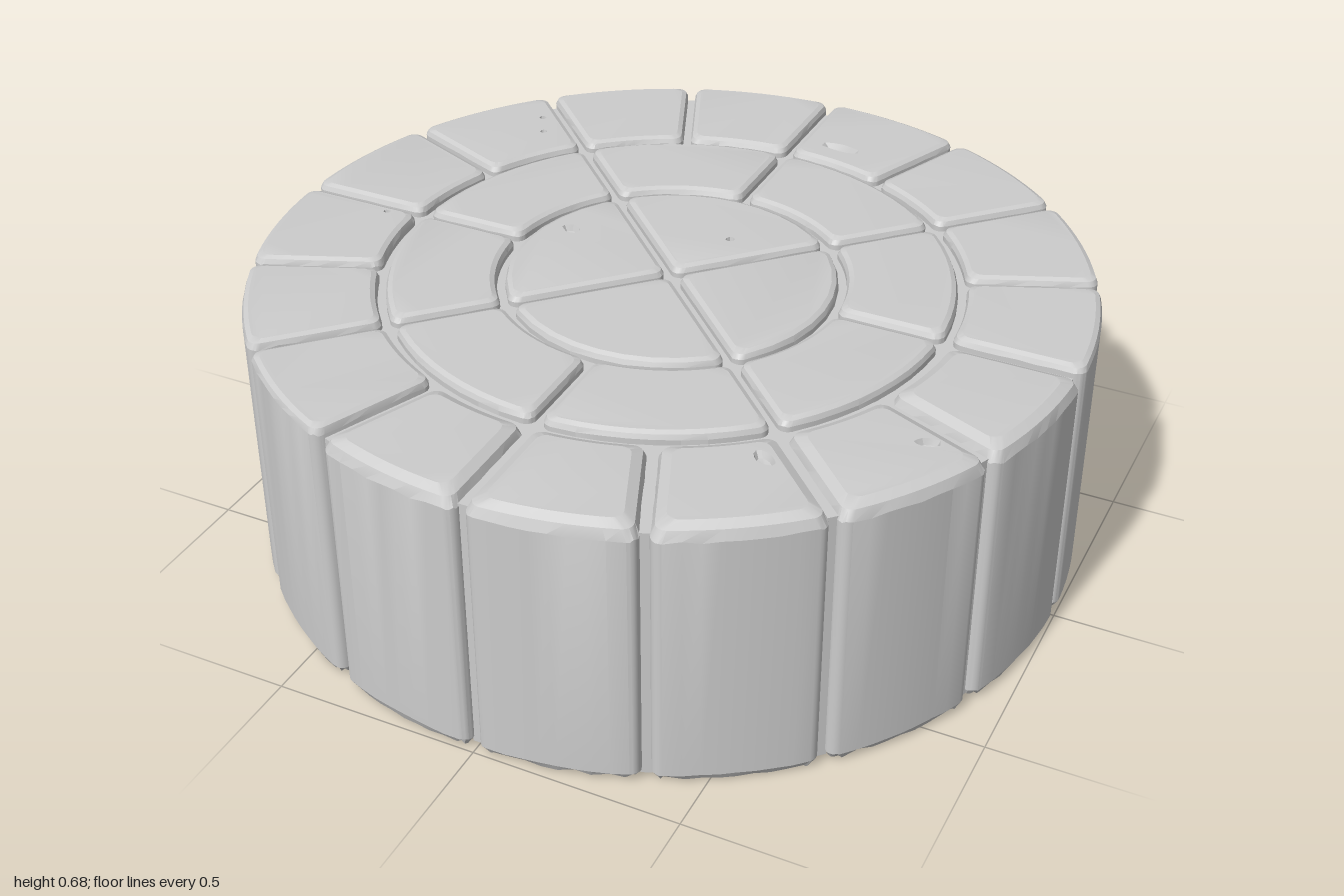
import * as THREE from 'three';
import { toCreasedNormals } from 'three/addons/utils/BufferGeometryUtils.js';

const H = 0.685, GAP = 0.01, CORNER = 0.025, RAD = Math.PI / 180;
const stoneMat = new THREE.MeshStandardMaterial({ color: 0xcccccc, side: THREE.DoubleSide });

// shallow pits in the top faces: x, z, half length, half width, turn
const PITS = [
  [0.12, -0.76, 0.06, 0.02, 0.05], [0.06, -0.2, 0.012, 0.012, 0], [-0.31, -0.08, 0.026, 0.02, 0.4],
  [0.785, 0.4, 0.03, 0.018, -0.3], [0.5, 0.6, 0.032, 0.022, 0.6], [-0.66, -0.58, 0.01, 0.01, 0],
  [-0.62, -0.51, 0.01, 0.01, 0], [-0.76, 0.04, 0.01, 0.008, 0],
];

function seeded(seed) {
  let s = seed * 7919 + 17;
  return () => (s = (s * 16807) % 2147483647) / 2147483647;
}

const polar = (r, a) => [r * Math.cos(a), r * Math.sin(a)];

// rounded outline of a ring sector, drawn in by d on every side
function outline(r0, r1, a0, a1, d) {
  const pts = [], q = Math.PI / 2, k = d + CORNER;
  const corner = (cx, cz, from, to) => {
    for (let i = 0; i <= 5; i++) {
      const [x, z] = polar(CORNER, from + (to - from) * i / 5);
      pts.push([cx + x, cz + z]);
    }
  };
  const arc = (r, from, to) => {
    for (let i = 1; i < 8; i++) pts.push(polar(r, from + (to - from) * i / 8));
  };
  const side = (p, s) => {
    for (let i = 1; i < 6; i++) pts.push([p[0] + (s[0] - p[0]) * i / 6, p[1] + (s[1] - p[1]) * i / 6]);
  };
  const out = r1 - k, oa = Math.asin(k / out);
  const inn = r0 > 0 ? r0 + k : k / Math.sin((a1 - a0) / 2);
  const ia = r0 > 0 ? Math.asin(k / inn) : (a1 - a0) / 2;
  const offset = (p, a) => { const [x, z] = polar(CORNER, a); return [p[0] + x, p[1] + z]; };

  corner(...polar(out, a0 + oa), a0 - q, a0);
  arc(r1 - d, a0 + oa, a1 - oa);
  corner(...polar(out, a1 - oa), a1, a1 + q);
  side(pts[pts.length - 1], offset(polar(inn, a1 - ia), a1 + q));
  if (r0 > 0) {
    corner(...polar(inn, a1 - ia), a1 + q, a1 + 2 * q);
    arc(r0 + d, a1 - ia, a0 + ia);
    corner(...polar(inn, a0 + ia), a0 + 2 * q, a0 + 3 * q);
  } else {
    corner(...polar(inn, a0 + ia), a1 + q, a0 + 3 * q);
  }
  side(pts[pts.length - 1], pts[0]);
  return pts;
}

// hollow stone, open underneath, with worn upper edges and pitted top
function stoneGeometry(r0, r1, a0, a1, wear, chip, rnd) {
  const pos = [];
  const tri = (a, b, c) => pos.push(...a, ...b, ...c);
  const lift = (pts, y, rough = 0) => pts.map(([x, z]) => [x, y + rough * rnd(), z]);
  const ring = d => outline(r0, r1, a0, a1, GAP + d);

  const loops = [
    lift(ring(0.01), 0, chip),
    lift(ring(0), 0.022, 0.004),
    lift(ring(0), H - wear, -chip * 0.5),
    lift(ring(wear * 0.3), H - wear * 0.35),
    lift(ring(wear), H),
  ];
  for (let l = 0; l < loops.length - 1; l++) {
    const lo = loops[l], up = loops[l + 1];
    lo.forEach((p, i) => {
      const j = (i + 1) % lo.length;
      tri(p, up[i], lo[j]);
      tri(up[i], up[j], lo[j]);
    });
  }

  // pits that fall on this stone
  const holes = PITS.filter(([x, z]) => {
    const r = Math.hypot(x, z), turn = 2 * Math.PI;
    const a = (((Math.atan2(z, x) - a0) % turn) + turn) % turn;
    return r > r0 && r < r1 && a < a1 - a0;
  }).map(([x, z, rx, rz, t]) => {
    const rim = [], floor = [];
    for (let i = 0; i < 12; i++) {
      const a = i * Math.PI / 6, w = 0.8 + 0.2 * rnd();
      const u = rx * w * Math.cos(a), v = rz * w * Math.sin(a);
      const dx = u * Math.cos(t) - v * Math.sin(t), dz = u * Math.sin(t) + v * Math.cos(t);
      rim.push([x + dx, H, z + dz]);
      floor.push([x + dx * 0.7, H - 0.015, z + dz * 0.7]);
    }
    rim.forEach((p, i) => {
      const j = (i + 1) % 12;
      tri(p, rim[j], floor[i]);
      tri(rim[j], floor[j], floor[i]);
      tri(floor[i], floor[j], [x, H - 0.018, z]);
    });
    return rim;
  });

  // top face around the pits
  const flat = loop => loop.map(p => new THREE.Vector2(p[0], p[2]));
  const top = loops[loops.length - 1], all = [top, ...holes].flat();
  for (const [i, j, k] of THREE.ShapeUtils.triangulateShape(flat(top), holes.map(flat))) {
    const [a, b, c] = [all[i], all[j], all[k]];
    const up = (b[2] - a[2]) * (c[0] - a[0]) - (b[0] - a[0]) * (c[2] - a[2]);
    if (up > 0) tri(a, b, c); else tri(a, c, b);
  }

  const geo = new THREE.BufferGeometry();
  geo.setAttribute('position', new THREE.Float32BufferAttribute(pos, 3));
  return toCreasedNormals(geo, 0.36);
}

export function createModel() {
  const model = new THREE.Group();
  model.name = 'roundStonePlatform';

  // three rings of stones; the front left quarter is the most worn
  const rings = [
    { name: 'outerStone', count: 16, r0: 0.68, r1: 1 + GAP, start: 0 },
    { name: 'middleStone', count: 8, r0: 0.402, r1: 0.68, start: 0 },
    { name: 'centreStone', count: 4, r0: 0, r1: 0.402, start: 45 },
  ];
  rings.forEach(({ name, count, r0, r1, start }, n) => {
    const group = new THREE.Group();
    group.name = name + 'Ring';
    for (let i = 0; i < count; i++) {
      const step = 360 / count, a0 = (start + i * step) * RAD;
      const outer = n === 0;
      const wear = outer && i < 5 ? 0.032 : 0.016;
      const chip = outer && i < 8 ? 0.014 : 0.005;
      const geo = stoneGeometry(r0, r1, a0, a0 + step * RAD, wear, chip, seeded(n * 20 + i + 1));
      const stone = new THREE.Mesh(geo, stoneMat);
      stone.name = name;
      group.add(stone);
    }
    model.add(group);
  });

  // mortar closing the joints from above
  const mortar = new THREE.Mesh(new THREE.CircleGeometry(0.975, 64).rotateX(-Math.PI / 2), stoneMat);
  mortar.name = 'mortarBed';
  mortar.position.y = H - 0.03;
  model.add(mortar);

  // mortar strips behind the upright joints of the rim
  for (let i = 0; i < 16; i++) {
    const a = i * 22.5 * RAD, strip = new THREE.Mesh(new THREE.BoxGeometry(0.01, H - 0.04, 0.026), stoneMat);
    strip.name = 'mortarStrip';
    strip.position.set(0.97 * Math.cos(a), (H - 0.04) / 2 + 0.01, 0.97 * Math.sin(a));
    strip.rotation.y = -a;
    model.add(strip);
  }
  return model;
}
